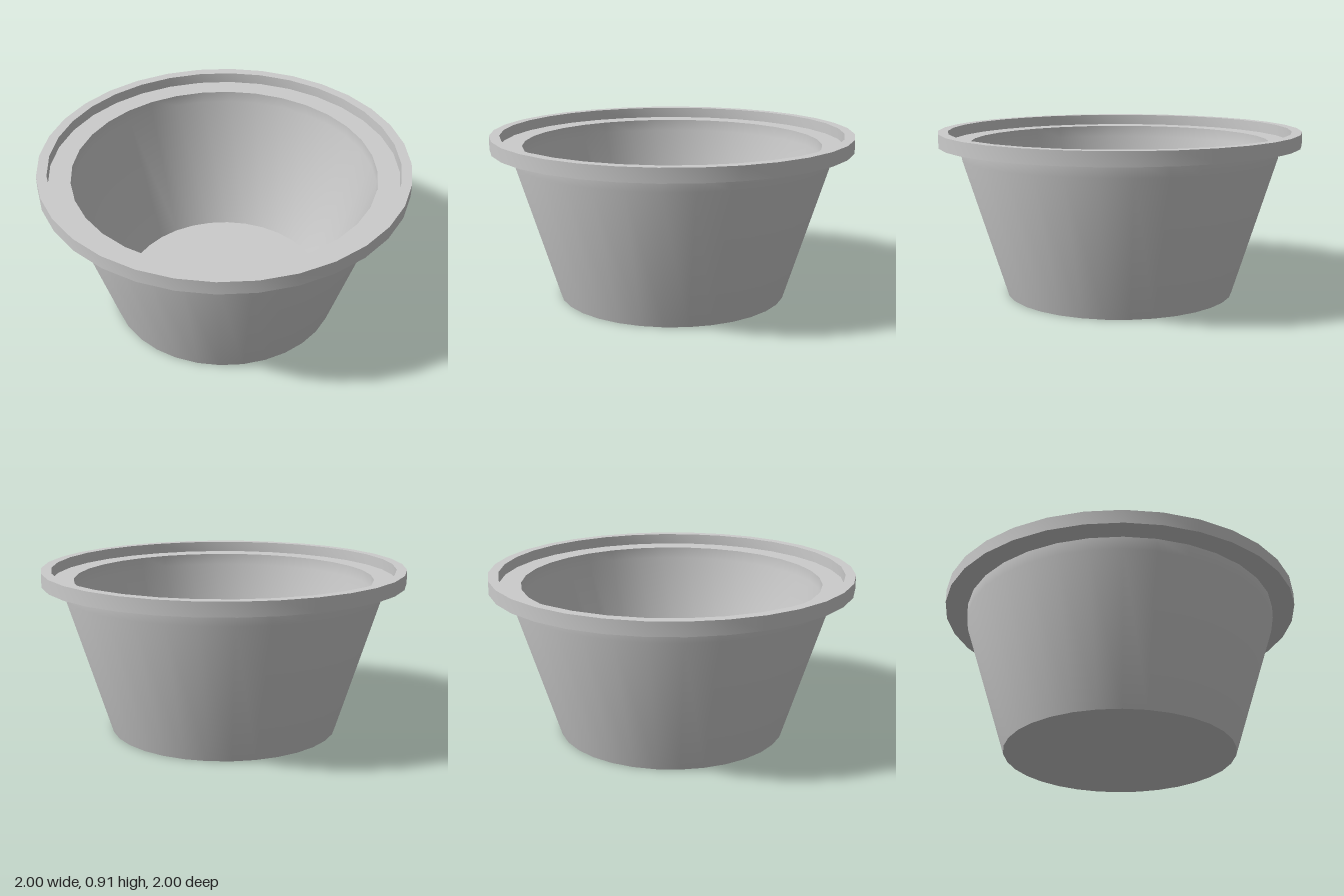
import * as THREE from 'three';
import { toCreasedNormals } from 'three/addons/utils/BufferGeometryUtils.js';

const SIDES = 32;

export function createModel() {
  const model = new THREE.Group();
  model.name = 'taperedBowl';
  const material = new THREE.MeshStandardMaterial({ color: 0xcccccc });

  // Spins a profile of [radius, height] points; corners stay sharp, sides smooth
  function addLathe(name, profile) {
    const points = profile.map(([r, y]) => new THREE.Vector2(r, y));
    const geometry = toCreasedNormals(new THREE.LatheGeometry(points, SIDES), Math.PI / 6);
    const mesh = new THREE.Mesh(geometry, material);
    mesh.name = name;
    model.add(mesh);
  }

  // Flat base, tapered wall and short upright collar under the rim
  addLathe('outerShell', [[0, 0], [0.635, 0], [0.875, 0.765], [0.875, 0.835]]);

  // Overhanging rim with a raised lip and a recessed ledge for a lid
  addLathe('rim', [
    [0.875, 0.835], [1, 0.835], [1, 0.91], [0.945, 0.91], [0.945, 0.85], [0.825, 0.85],
  ]);

  // Hollow inside with a flat floor
  addLathe('innerShell', [[0.825, 0.85], [0.825, 0.785], [0.572, 0.05], [0, 0.05]]);

  return model;
}
